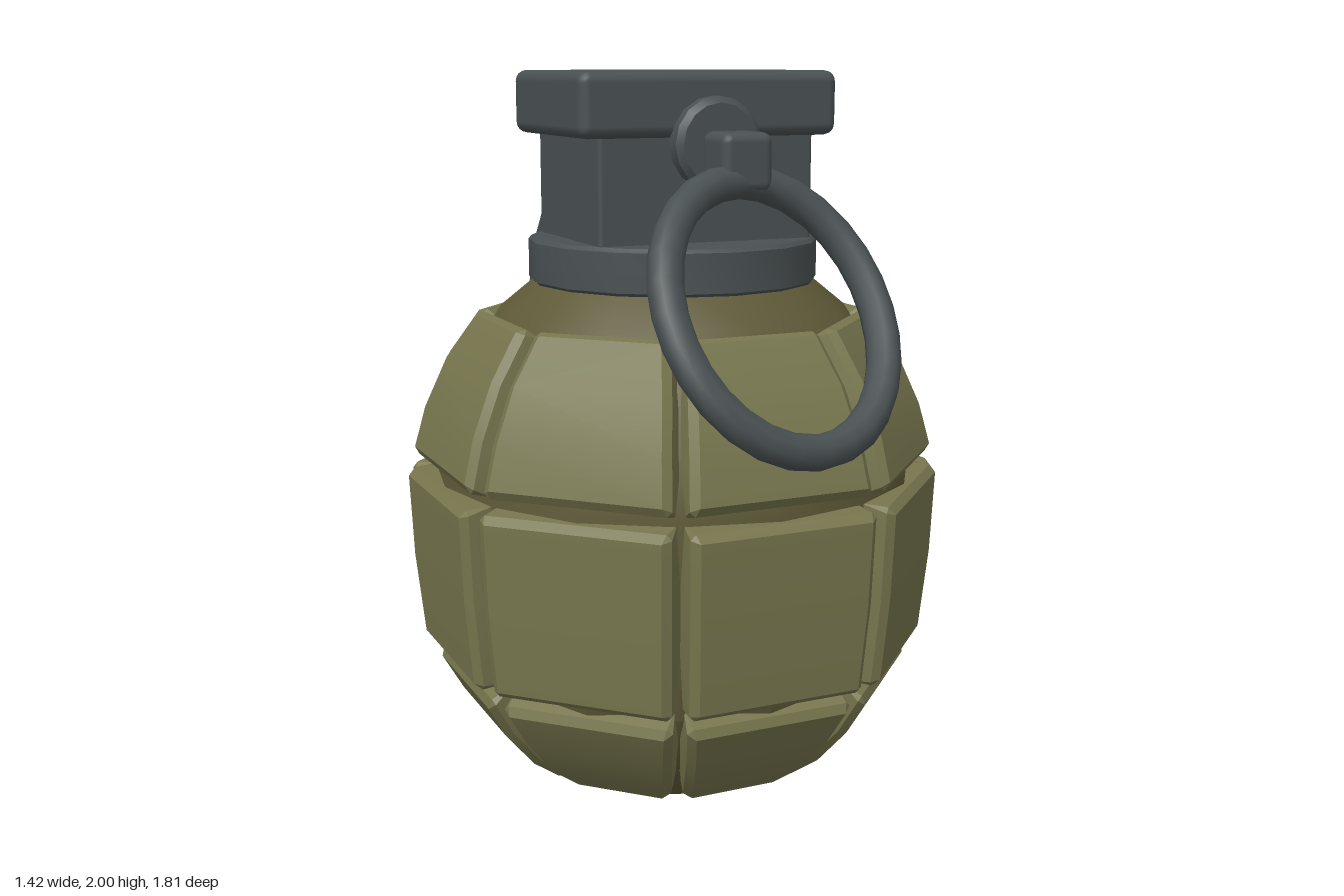
import * as THREE from 'three';
import { toCreasedNormals } from 'three/addons/utils/BufferGeometryUtils.js';
import { RoundedBoxGeometry } from 'three/addons/geometries/RoundedBoxGeometry.js';
import { ConvexGeometry } from 'three/addons/geometries/ConvexGeometry.js';

const plateGreen = new THREE.MeshStandardMaterial({ name: 'plate olive', color: 0x77764e });
const coreGreen = new THREE.MeshStandardMaterial({ name: 'core olive', color: 0x5f5a38 });
const metal = new THREE.MeshStandardMaterial({ name: 'dark metal', color: 0x4a5153 });

const CENTRE_Z = 0.02;

function add(parent, name, geometry, material, x = 0, y = 0, z = 0) {
  const mesh = new THREE.Mesh(geometry, material);
  mesh.name = name;
  mesh.position.set(x, y, z);
  parent.add(mesh);
  return mesh;
}

// Box given by its extents, with small rounded edges
function block(parent, name, w, y0, y1, z0, z1, radius) {
  const geo = new RoundedBoxGeometry(w, y1 - y0, z1 - z0, 2, radius);
  add(parent, name, geo, metal, 0, (y0 + y1) / 2, (z0 + z1) / 2);
}

// Bevelled plate: flat across, following a [radius, y] profile upwards
function plateGeometry(profile) {
  const bevel = 0.02, depth = 0.09, points = [];
  const curve = profile.map(([r, y]) => new THREE.Vector2(r, y));
  const last = curve.length - 1;
  curve.forEach((p, i) => {
    const tangent = curve[Math.min(i + 1, last)].clone().sub(curve[Math.max(i - 1, 0)]).normalize();
    const inward = new THREE.Vector2(-tangent.y, tangent.x);
    const half = p.x * 0.368;
    const end = i === 0 ? 1 : i === last ? -1 : 0;
    const face = p.clone().addScaledVector(tangent, end * bevel);
    const edge = p.clone().addScaledVector(inward, bevel);
    const back = p.clone().addScaledVector(inward, depth);
    for (const s of [-1, 1]) {
      points.push(new THREE.Vector3(s * (half - bevel), face.y, face.x));
      const inset = end ? bevel * 0.7 : 0;
      points.push(new THREE.Vector3(s * (half - inset), edge.y, edge.x));
      points.push(new THREE.Vector3(s * (half - inset), back.y, back.x));
      if (end) {
        // clipped corner
        const c = edge.clone().addScaledVector(tangent, end * bevel * 0.7);
        points.push(new THREE.Vector3(s * half, c.y, c.x));
      }
    }
  });
  return toCreasedNormals(new ConvexGeometry(points), 0.3);
}

export function createModel() {
  const model = new THREE.Group();
  model.name = 'grenade';

  // Body core
  const coreProfile = [
    [0, 0], [0.21, 0], [0.37, 0.05], [0.46, 0.14], [0.54, 0.24], [0.62, 0.37], [0.655, 0.6],
    [0.675, 0.92], [0.64, 1.07], [0.57, 1.22], [0.48, 1.36], [0.37, 1.45], [0, 1.45],
  ].map(([r, y]) => new THREE.Vector2(r, y));
  const core = new THREE.LatheGeometry(coreProfile, 16);
  add(model, 'bodyCore', toCreasedNormals(core, 0.5), coreGreen, 0, 0, CENTRE_Z);

  // Three rows of eight plates
  const rows = {
    lowerPlate: [[0.39, 0.05], [0.49, 0.13], [0.58, 0.24], [0.645, 0.355]],
    middlePlate: [[0.675, 0.4], [0.7, 0.65], [0.71, 0.9]],
    upperPlate: [[0.695, 0.945], [0.66, 1.08], [0.6, 1.22], [0.51, 1.355]],
  };
  for (const [name, profile] of Object.entries(rows)) {
    const geo = plateGeometry(profile);
    for (let i = 0; i < 8; i++) {
      add(model, name, geo, plateGreen, 0, 0, CENTRE_Z).rotation.y = (i * Math.PI) / 4;
    }
  }

  // Collar and head
  const collarProfile = [[0, 1.43], [0.39, 1.43], [0.4, 1.44], [0.4, 1.545], [0.39, 1.555], [0, 1.555]]
    .map(([r, y]) => new THREE.Vector2(r, y));
  add(model, 'collar', toCreasedNormals(new THREE.LatheGeometry(collarProfile, 16), 0.5), metal, 0, 0, CENTRE_Z);
  block(model, 'headBlock', 0.62, 1.5, 1.88, -0.2, 0.25, 0.012);
  block(model, 'headCap', 0.74, 1.83, 2, -0.24, 0.28, 0.03);

  // Pin: round head, shaft and ring holder
  const discProfile = [[0, -0.035], [0.105, -0.035], [0.122, -0.02], [0.122, 0.02], [0.105, 0.035], [0, 0.035]]
    .map(([r, y]) => new THREE.Vector2(r, y));
  const disc = toCreasedNormals(new THREE.LatheGeometry(discProfile, 16), 0.5);
  add(model, 'pinHead', disc, metal, 0, 1.815, 0.29).rotation.x = Math.PI / 2;
  block(model, 'ringHolder', 0.14, 1.7, 1.85, 0.35, 0.49, 0.025);

  // Pull ring: a slightly oval, tilted loop
  const centre = new THREE.Vector3(0, 1.42, 0.65);
  const across = new THREE.Vector3(0.315, -0.02, -0.058);
  const along = new THREE.Vector3(0, 0.307, -0.205);
  const loop = [];
  for (let i = 0; i < 16; i++) {
    const a = (i * Math.PI) / 8;
    loop.push(centre.clone().addScaledVector(across, Math.cos(a)).addScaledVector(along, Math.sin(a)));
  }
  const ringPath = new THREE.CatmullRomCurve3(loop, true);
  add(model, 'pullRing', new THREE.TubeGeometry(ringPath, 28, 0.045, 10, true), metal);

  // Safety lever: side outline in (z, y), extruded across x
  const outline = [
    [-0.18, 1.91], [-0.24, 1.905], [-0.3, 1.88], [-0.52, 1.75], [-0.72, 1.5], [-0.865, 1.18],
    [-0.903, 0.86], [-0.87, 0.5], [-0.8, 0.26], [-0.77, 0.225], [-0.72, 0.22], [-0.66, 0.25],
    [-0.67, 0.3], [-0.74, 0.6], [-0.77, 0.88], [-0.725, 1.15], [-0.61, 1.43], [-0.43, 1.66],
    [-0.24, 1.785], [-0.18, 1.79],
  ].map(([z, y]) => new THREE.Vector2(z, y));
  const bevel = 0.025;
  const lever = new THREE.ExtrudeGeometry(new THREE.Shape(outline), {
    depth: 0.3 - 2 * bevel, bevelThickness: bevel, bevelSize: bevel, bevelOffset: -bevel, bevelSegments: 2,
  });
  lever.translate(0, 0, -0.15 + bevel).rotateY(-Math.PI / 2);
  add(model, 'safetyLever', toCreasedNormals(lever, 0.6), metal);

  return model;
}
